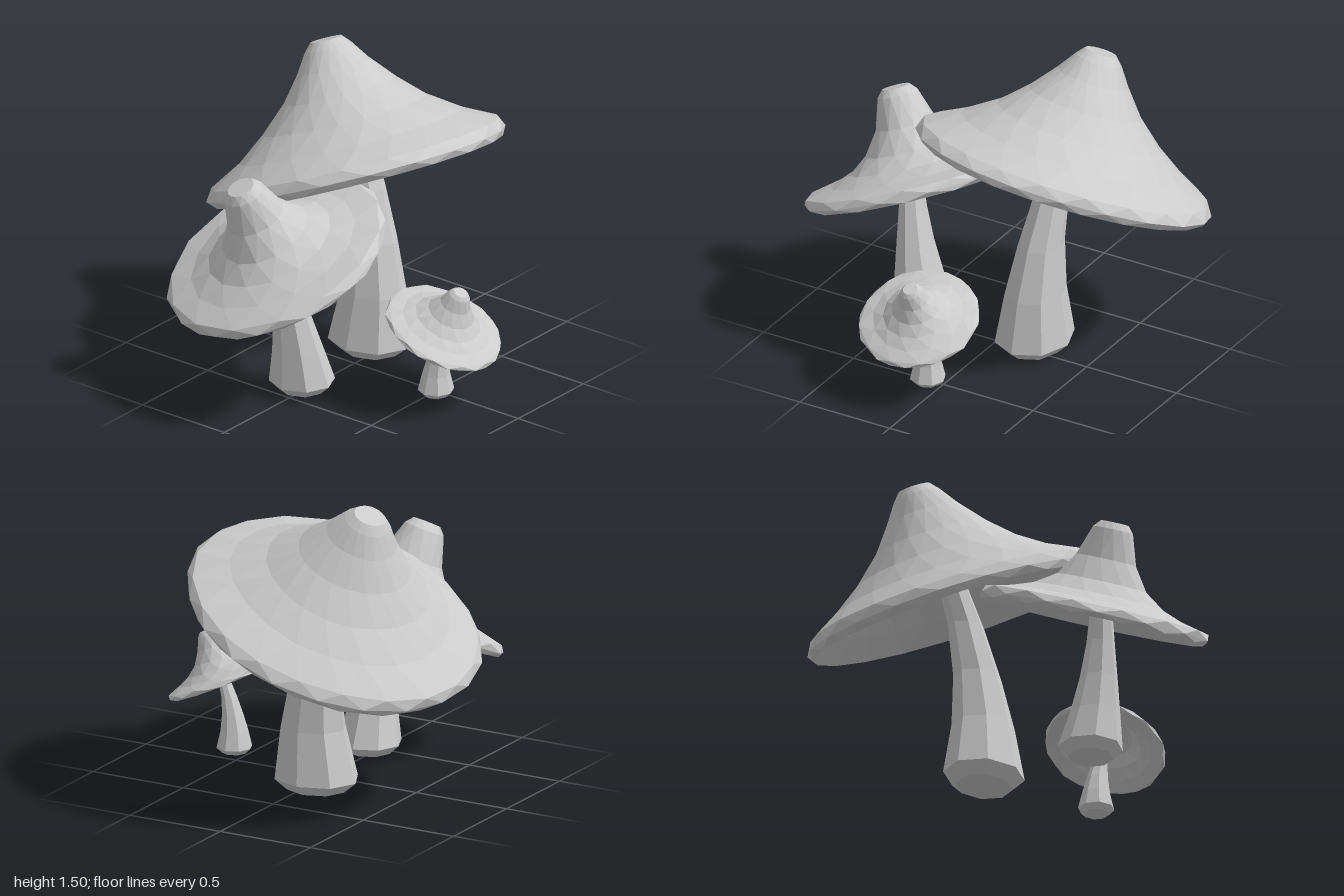
import * as THREE from 'three';

const material = new THREE.MeshStandardMaterial({ color: 0xcccccc, flatShading: true });

// Skin through horizontal rings { x, y, z, r }; staggered rings give a triangulated, faceted look
function skin(rings, { sides, stagger = false, wobble = 0, oval = 1 }) {
  const pos = [], index = [];
  rings.forEach(({ x = 0, y, z = 0, r }, i) => {
    for (let j = 0; j < sides; j++) {
      const a = ((j + (stagger && i % 2 ? 0.5 : 0)) / sides) * Math.PI * 2;
      const k = r * (1 + wobble * (Math.sin(a * 3 + i * 1.9) + 0.6 * Math.sin(a * 5 - i)));
      pos.push(x + Math.cos(a) * k * oval, y, z - Math.sin(a) * k);
    }
  });
  for (let i = 0; i < rings.length - 1; i++) {
    const odd = stagger && i % 2;
    for (let j = 0; j < sides; j++) {
      const n = (j + 1) % sides;
      const a = i * sides + j, b = i * sides + n, c = a + sides, d = b + sides;
      if (rings[i].r > 0) index.push(a, b, odd ? d : c);
      if (rings[i + 1].r > 0) index.push(odd ? a : b, d, c);
    }
  }
  const geo = new THREE.BufferGeometry();
  geo.setAttribute('position', new THREE.Float32BufferAttribute(pos, 3));
  geo.setIndex(index);
  geo.computeVertexNormals();
  return geo;
}

// Thin pointed cap: hollow underside, rim, flared top, knob
function makeCap({ radius, knob, height, lip, flare, sides }) {
  const edge = 0.965 * radius;
  const steps = [0, 1, 2, 3, 4, 5].map((i) => (i / 5) ** 1.4);
  const top = steps.map((s) => ({
    r: knob + (edge - knob) * s,
    y: lip + (height - lip) * (1 - s) / (1 + flare * s),
  }));
  const under = top.slice(2).map(({ r, y }) => ({ r, y: y - 1.7 * lip }));
  const tip = height + 0.35 * knob;
  const rings = [
    { r: 0, y: under[0].y + 1.5 * lip }, ...under,
    { r: radius, y: 0 },
    ...top.reverse(),
    { r: 0.68 * knob, y: tip }, { r: 0, y: tip },
  ];
  const cap = new THREE.Mesh(skin(rings, { sides, stagger: true, wobble: 0.01 }), material);
  cap.name = 'cap';
  return cap;
}

// Curved stem, thinning quickly above a bevelled foot, closed at both ends
function makeStem({ base, bend, top, wide, thin, oval }) {
  const curve = new THREE.QuadraticBezierCurve3(base, bend, top);
  const rings = curve.getPoints(5).map(({ x, y, z }, i) => (
    { x, y, z, r: thin + (wide - thin) * (1 - i / 5) ** 1.7 }));
  const foot = { ...rings[0], y: base.y - 0.3 * wide, r: 0.7 * wide };
  const stem = new THREE.Mesh(
    skin([{ ...foot, r: 0 }, foot, ...rings, { ...rings[5], r: 0 }], { sides: 8, oval }), material);
  stem.name = 'stem';
  return stem;
}

const v = (x, y, z) => new THREE.Vector3(x, y, z);

function mushroom(name, center, up, capSize, stemPath) {
  const group = new THREE.Group();
  group.name = name;
  const cap = makeCap(capSize);
  cap.position.copy(center);
  cap.quaternion.setFromUnitVectors(v(0, 1, 0), up.normalize());
  group.add(cap, makeStem(stemPath));
  return group;
}

export function createModel() {
  const model = new THREE.Group();
  model.name = 'mushroomCluster';
  model.add(mushroom('largeMushroom', v(-0.19, 0.91, -0.26), v(-0.43, 1, -0.11),
    { radius: 0.74, knob: 0.115, height: 0.575, lip: 0.05, flare: 0.85, sides: 20 },
    { base: v(-0.05, 0.06, -0.18), bend: v(0.02, 0.72, -0.2), top: v(-0.33, 1.32, -0.31),
      wide: 0.185, thin: 0.055, oval: 1.18 }));
  model.add(mushroom('mediumMushroom', v(-0.085, 0.71, 0.485), v(-0.2, 1, 0.43),
    { radius: 0.567, knob: 0.1, height: 0.425, lip: 0.035, flare: 4.2, sides: 14 },
    { base: v(0, 0.07, 0.405), bend: v(0.01, 0.5, 0.48), top: v(-0.11, 0.92, 0.54),
      wide: 0.155, thin: 0.045, oval: 1.05 }));
  model.add(mushroom('smallMushroom', v(0.602, 0.39, 0.073), v(0.46, 1, -0.04),
    { radius: 0.297, knob: 0.053, height: 0.22, lip: 0.015, flare: 2.4, sides: 12 },
    { base: v(0.545, 0.05, 0.06), bend: v(0.535, 0.26, 0.06), top: v(0.64, 0.46, 0.06),
      wide: 0.088, thin: 0.025, oval: 1 }));
  return model;
}
